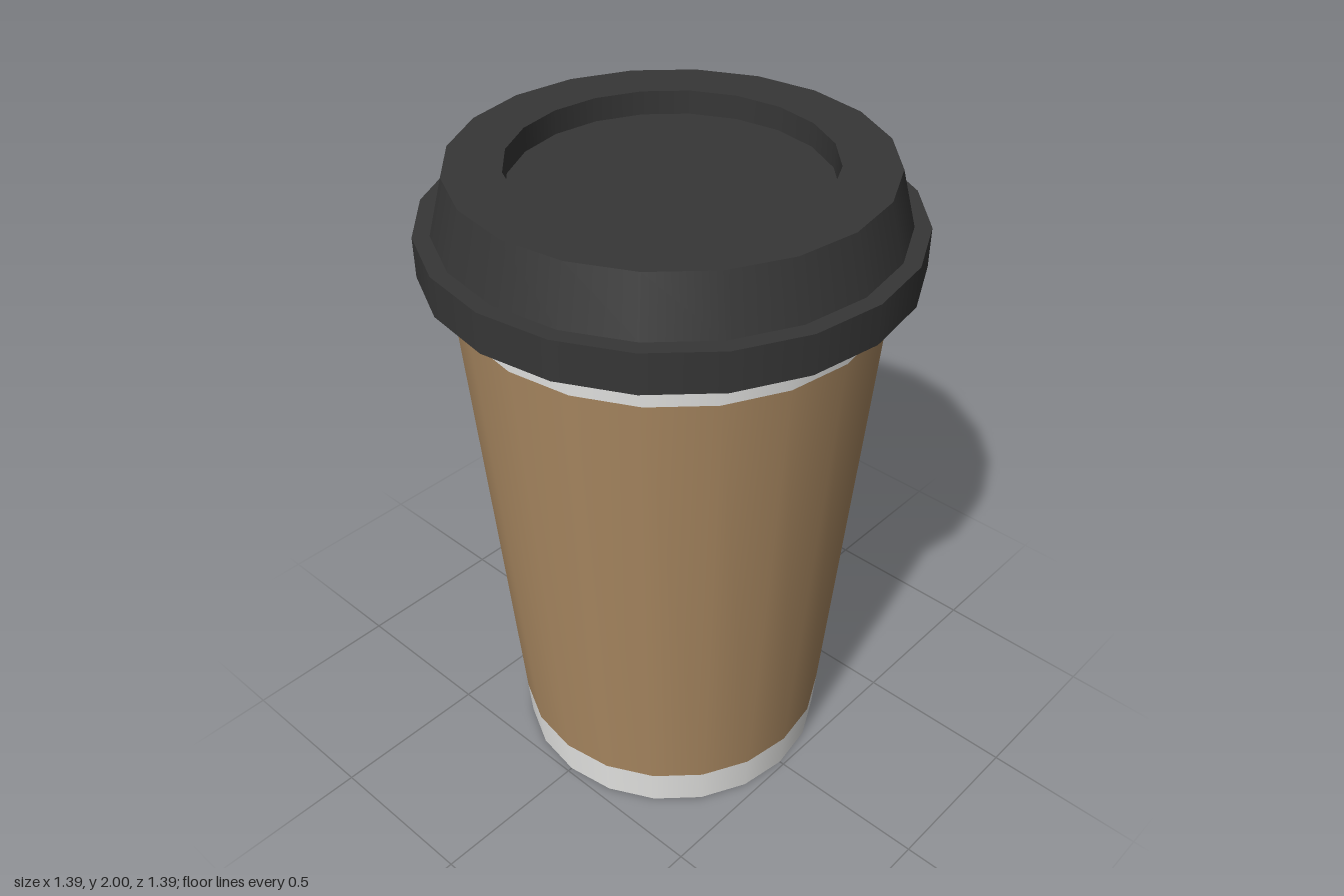
import * as THREE from 'three';
import { mergeGeometries } from 'three/addons/utils/BufferGeometryUtils.js';

const SIDES = 20;

// Revolve a profile, smooth around the axis but sharp at each profile corner.
function revolve(profile) {
  const bands = [];
  for (let i = 0; i < profile.length - 1; i++) {
    const pair = [profile[i], profile[i + 1]].map(([r, y]) => new THREE.Vector2(r, y));
    bands.push(new THREE.LatheGeometry(pair, SIDES));
  }
  return mergeGeometries(bands);
}

// Radius of the tapered cup wall at height y.
const wall = (y) => 0.485 + 0.0767 * y;

export function createModel() {
  const paper = new THREE.MeshStandardMaterial({ color: 0xf0f0ee });
  paper.name = 'white paper';
  const card = new THREE.MeshStandardMaterial({ color: 0xa98861 });
  card.name = 'brown card';
  const plastic = new THREE.MeshStandardMaterial({ color: 0x363636 });
  plastic.name = 'dark plastic';

  const group = new THREE.Group();
  group.name = 'coffeeCup';
  const add = (name, profile, material) => {
    const mesh = new THREE.Mesh(revolve(profile), material);
    mesh.name = name;
    group.add(mesh);
  };

  const sleeveLow = 0.12, sleeveHigh = 1.625, lidLow = 1.72;

  // Cup base with closed bottom, flush sleeve, and upper paper band
  add('cupBase', [[0, 0], [wall(0), 0], [wall(sleeveLow), sleeveLow]], paper);
  add('sleeve', [[wall(sleeveLow), sleeveLow], [wall(sleeveHigh), sleeveHigh]], card);
  add('cupTopBand', [[wall(sleeveHigh), sleeveHigh], [wall(lidLow), lidLow]], paper);

  // Lid: underside, rim, sloped dome, and recessed top
  add('lid', [
    [0, lidLow], [0.695, lidLow], [0.695, 1.837], [0.648, 1.837],
    [0.605, 2], [0.446, 2], [0.446, 1.93], [0, 1.93],
  ], plastic);

  return group;
}
